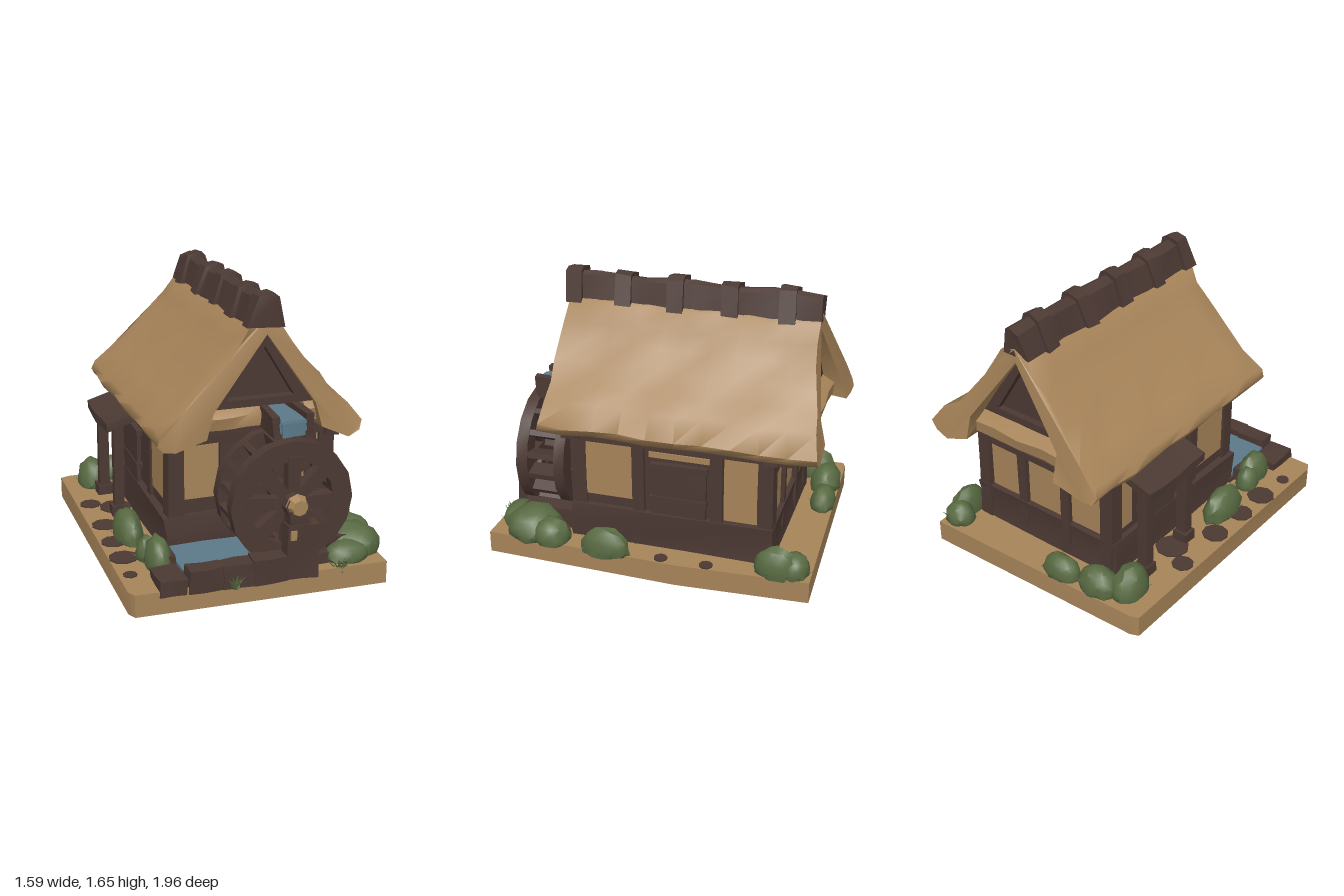
import * as THREE from 'three';
import { toCreasedNormals, mergeVertices } from 'three/addons/utils/BufferGeometryUtils.js';

const mat = (name, color) => Object.assign(new THREE.MeshStandardMaterial({ color }), { name });

export function createModel() {
  const root = new THREE.Group();
  root.name = 'watermill';
  const tan = mat('straw and plaster', 0xa78459);
  const dark = mat('dark timber', 0x4c3933);
  const green = mat('leaf green', 0x586a42);
  const blue = mat('water blue', 0x5c7a8a);

  // Hand-carved unevenness: shift vertices by a rule of their position
  const rough = (geo, amt) => {
    const p = geo.attributes.position;
    for (let i = 0; i < p.count; i++) {
      const x = p.getX(i), y = p.getY(i), z = p.getZ(i);
      p.setXYZ(i,
        x + amt * Math.sin(y * 19 + z * 13 + x * 5),
        y + amt * Math.sin(x * 17 + z * 11 + 1),
        z + amt * Math.sin(x * 13 + y * 21 + 2));
    }
    return geo;
  };
  const add = (name, geo, material, parent = root, crease = 0.6) => {
    const mesh = new THREE.Mesh(toCreasedNormals(geo, crease), material);
    mesh.name = name;
    parent.add(mesh);
    return mesh;
  };
  const box = (name, m, x0, x1, y0, y1, z0, z1, amt = 0.006, parent = root) => {
    const g = new THREE.BoxGeometry(x1 - x0, y1 - y0, z1 - z0, 2, 2, 2);
    g.translate((x0 + x1) / 2, (y0 + y1) / 2, (z0 + z1) / 2);
    return add(name, rough(g, amt), m, parent);
  };
  const toShape = pts => new THREE.Shape(pts.map(p => new THREE.Vector2(...p)));
  // Outline in x and y, extruded from z0 to z1
  const prism = (pts, z0, z1, hole, steps = 1) => {
    const s = toShape(pts);
    if (hole) s.holes.push(toShape(hole));
    return new THREE.ExtrudeGeometry(s, { depth: z1 - z0, steps, bevelEnabled: false }).translate(0, 0, z0);
  };
  const circle = (r, n) => Array.from({ length: n }, (_, i) =>
    [r * Math.cos(i / n * 2 * Math.PI), r * Math.sin(i / n * 2 * Math.PI)]);

  // Ground slab with dark underside
  const plan = [[-0.78, 0.91], [-0.73, 0.93], [0.7, 0.97], [0.74, 0.2], [0.7, -0.965], [-0.76, -0.93], [-0.785, -0.88]];
  add('ground', prism(plan, 0.004, 0.135).rotateX(-Math.PI / 2), tan);
  add('underside', new THREE.ShapeGeometry(toShape(plan.map(([x, y]) => [x, -y]))).rotateX(Math.PI / 2), dark);
  for (const [x, z, r] of [[-0.7, -0.39, 0.065], [-0.69, -0.04, 0.08], [-0.7, 0.22, 0.075], [-0.7, 0.45, 0.085],
    [-0.56, -0.3, 0.1], [-0.72, 0.68, 0.04], [0.69, -0.37, 0.04], [0.69, -0.1, 0.04]]) {
    add('pathStone', new THREE.CylinderGeometry(r, r, 0.008, 9).translate(x, 0.139, z), dark);
  }

  // House: footing, core, posts and beams
  box('footing', dark, -0.46, 0.58, 0.12, 0.36, -0.72, 0.485, 0.01);
  box('wallCore', dark, -0.42, 0.55, 0.35, 0.92, -0.69, 0.445, 0);
  for (const x of [-0.395, 0.525]) for (const z of [-0.68, 0.43])
    box('cornerPost', dark, x - 0.045, x + 0.045, 0.13, 0.86, z - 0.045, z + 0.045);
  for (const z of [0.065, -0.4]) {
    box('sidePost', dark, 0.52, 0.575, 0.13, 0.84, z - 0.035, z + 0.035);
    box('sidePost', dark, -0.445, -0.4, 0.13, 0.84, z - 0.035, z + 0.035);
  }
  for (const x of [-0.1, 0.22]) box('backPost', dark, x - 0.03, x + 0.03, 0.13, 0.86, -0.725, -0.66);
  box('frontPost', dark, -0.13, -0.05, 0.13, 0.86, 0.42, 0.475);
  box('frontPost', dark, 0.4, 0.46, 0.13, 0.86, 0.42, 0.475);
  for (const x of [-0.42, 0.54]) box('eaveBeam', dark, x - 0.04, x + 0.04, 0.77, 0.85, -0.82, 0.53);
  for (const z of [-0.71, 0.45]) box('tieBeam', dark, -0.47, 0.6, 0.78, 0.89, z - 0.04, z + 0.04);
  box('backRail', dark, -0.4, 0.53, 0.67, 0.71, -0.715, -0.66);

  // Plaster panels
  const panel = (...b) => box('plasterPanel', tan, ...b, 0);
  panel(-0.345, -0.13, 0.445, 0.765, 0.446, 0.454);
  panel(-0.045, 0.11, 0.43, 0.655, 0.446, 0.454);
  panel(0.22, 0.4, 0.39, 0.66, 0.446, 0.454);
  panel(0.46, 0.49, 0.42, 0.77, 0.446, 0.454);
  for (const [a, b] of [[-0.35, -0.13], [-0.07, 0.19], [0.25, 0.48]]) panel(a, b, 0.37, 0.77, -0.699, -0.691);
  panel(0.551, 0.559, 0.42, 0.77, 0.11, 0.39);
  panel(0.551, 0.559, 0.37, 0.78, -0.64, -0.435);
  panel(0.551, 0.559, 0.71, 0.745, -0.35, 0.01);
  panel(-0.429, -0.421, 0.42, 0.77, 0.11, 0.38);
  panel(-0.429, -0.421, 0.4, 0.77, -0.63, -0.52);

  // Side doors with planks and rails
  for (const [x, z] of [[0.563, -0.17], [-0.438, -0.3]]) {
    for (let i = -1; i <= 1; i++)
      box('doorPlank', dark, x - 0.015, x + 0.01, 0.2, 0.68, z + i * 0.108 - 0.054, z + i * 0.108 + 0.054, 0.003);
    for (const y of [0.44, 0.65]) box('doorRail', dark, x - 0.02, x + 0.02, y, y + 0.035, z - 0.17, z + 0.17, 0.003);
  }

  // Thatched roof, its lower edge reaching further out at both ends
  const roof = prism([[0.1, 1.51], [0.0, 1.455], [-0.07, 1.36], [-0.145, 1.27], [-0.26, 1.16], [-0.4, 1.0], [-0.525, 0.91],
    [-0.545, 0.86], [-0.52, 0.82], [-0.45, 0.8], [-0.25, 0.86], [-0.23, 1.01], [0.1, 1.42], [0.39, 1.0], [0.41, 0.86],
    [0.57, 0.8], [0.64, 0.825], [0.668, 0.875], [0.59, 0.995], [0.485, 1.07], [0.4, 1.17], [0.305, 1.27],
    [0.25, 1.37], [0.195, 1.465]], 0, 1, null, 10);
  const rp = roof.attributes.position;
  for (let i = 0; i < rp.count; i++) {
    const k = THREE.MathUtils.clamp((1.5 - rp.getY(i)) / 0.68, 0, 1);
    const z0 = -0.865 - 0.115 * k ** 1.5, z1 = 0.61 + 0.04 * k * k;
    rp.setZ(i, z0 + (z1 - z0) * rp.getZ(i));
  }
  add('thatchRoof', rough(roof, 0.009), tan, root, 1);

  // Thatch skirts below the gables (outline in z and y, run along x)
  const skirt = (pts, x0, x1) =>
    add('gableSkirt', rough(prism(pts.map(([z, y]) => [-z, y]), x0, x1, null, 4).rotateY(Math.PI / 2), 0.006), tan, root, 0.9);
  const frontSkirt = [[0.44, 1.04], [0.56, 1.005], [0.6, 0.96], [0.59, 0.89], [0.44, 0.87]];
  skirt(frontSkirt, -0.26, 0.07);
  skirt(frontSkirt, 0.33, 0.43);
  skirt([[-0.68, 1.05], [-0.8, 1.02], [-0.9, 0.95], [-0.89, 0.88], [-0.68, 0.86]], -0.27, 0.43);

  // Gable frames and recessed boards
  const tri = [[-0.25, 1.0], [0.4, 1.0], [0.1, 1.44]];
  const inner = [[-0.12, 1.045], [0.28, 1.045], [0.1, 1.34]];
  for (const [z, board] of [[0.5, 0.49], [-0.83, -0.79]]) {
    add('gableFrame', prism(tri, z, z + 0.07, inner), dark);
    add('gableBoard', prism(tri, board, board + 0.02), dark);
  }

  // Ridge log and its bindings
  const ridge = (w, t, h) => [[0.088 - w, 1.46], [0.088 + w, 1.46], [0.1 + t, h - 0.015], [0.11, h], [0.09 - t, h - 0.02]];
  add('ridgeLog', rough(prism(ridge(0.085, 0.04, 1.625), -0.87, 0.61, null, 10), 0.008), dark);
  for (const z of [0.58, 0.28, -0.03, -0.35, -0.68])
    add('ridgeBinding', rough(prism(ridge(0.113, 0.052, 1.648), z - 0.048, z + 0.048), 0.007), dark);

  // Porch on the right side
  const porch = new THREE.Group();
  porch.name = 'porch';
  root.add(porch);
  add('porchRoof', rough(prism([[-0.645, 0.69], [-0.38, 0.78], [-0.38, 0.825], [-0.645, 0.74]], -0.64, -0.12, null, 4), 0.006), dark, porch);
  for (const z of [-0.57, -0.19]) {
    box('porchPost', dark, -0.595, -0.53, 0.13, 0.71, z - 0.03, z + 0.03, 0.004, porch);
    box('porchFoot', dark, -0.61, -0.515, 0.13, 0.2, z - 0.045, z + 0.045, 0.004, porch);
  }

  // Water wheel: two rims, spokes, paddles, axle and hub
  const wheel = new THREE.Group();
  wheel.name = 'waterWheel';
  wheel.position.set(0.165, 0.515, 0);
  root.add(wheel);
  for (const [z0, z1] of [[0.55, 0.615], [0.78, 0.85]]) {
    add('rim', prism(circle(0.36, 16), z0, z1, circle(0.245, 16)), dark, wheel);
    for (let i = 0; i < 8; i++)
      add('spoke', prism([[0.03, -0.03], [0.27, -0.045], [0.27, 0.045], [0.03, 0.03]], z0 + 0.008, z1 + 0.006)
        .rotateZ(i * Math.PI / 4 - 0.05), dark, wheel);
  }
  for (let i = 0; i < 16; i++)
    add('paddle', new THREE.BoxGeometry(0.11, 0.035, 0.2).translate(0.295, 0, 0.695).rotateZ((i + 0.5) * Math.PI / 8), dark, wheel);
  add('axle', new THREE.CylinderGeometry(0.068, 0.068, 0.48, 8).rotateX(Math.PI / 2).translate(0, 0, 0.69), dark, wheel);
  add('hubCap', new THREE.CylinderGeometry(0.045, 0.067, 0.05, 8).rotateX(Math.PI / 2).translate(0, 0.01, 0.94), tan, wheel);
  box('wheelPost', dark, 0.1, 0.285, 0.1, 0.42, 0.87, 0.955, 0.005);
  box('axleBearing', dark, 0.11, 0.23, 0.4, 0.5, 0.86, 0.95, 0.005);
  box('wornPatch', tan, 0.115, 0.15, 0.34, 0.395, 0.955, 0.964, 0);

  // Chute carrying water to the wheel
  box('chuteFloor', dark, 0.09, 0.31, 0.87, 0.9, 0.45, 0.78);
  for (const x of [0.085, 0.28]) box('chuteSide', dark, x - 0.015, x + 0.03, 0.88, 1.0, 0.45, 0.79);
  box('chuteWater', blue, 0.11, 0.27, 0.9, 0.965, 0.46, 0.79, 0.005);
  box('spillingWater', blue, 0.12, 0.255, 0.88, 0.96, 0.785, 0.805, 0.004);

  // Mill pond and stone surround
  box('pondBed', dark, -0.47, 0.5, 0.12, 0.165, 0.45, 0.86, 0.004);
  box('pondWater', blue, -0.46, -0.02, 0.16, 0.19, 0.48, 0.86, 0.003);
  for (const [x0, x1, h, z0, z1] of [[-0.62, -0.47, 0.19, 0.73, 0.945], [-0.46, -0.27, 0.235, 0.84, 0.948],
    [-0.272, -0.09, 0.235, 0.85, 0.955], [-0.095, 0.1, 0.25, 0.85, 0.96], [0.29, 0.4, 0.2, 0.8, 0.88],
    [-0.56, -0.46, 0.22, 0.5, 0.7], [0.42, 0.52, 0.26, 0.5, 0.8]])
    box('pondStone', dark, x0, x1, 0.1, h, z0, z1, 0.005);

  // Bushes: lumpy blobs with pointed leaves around the foot
  const leaf = (x, y, z, a, tilt, s, parent) => {
    const g = new THREE.ConeGeometry(0.022 * s / 0.1, s, 4).scale(1, 1, 0.5).translate(0, s / 2, 0);
    add('leaf', g.rotateX(tilt).rotateY(a).translate(x, y, z), green, parent);
  };
  const bush = (x, z, rx, ry, rz) => {
    const group = new THREE.Group();
    group.name = 'bush';
    root.add(group);
    const ball = new THREE.IcosahedronGeometry(1, 2);
    ball.deleteAttribute('normal');
    ball.deleteAttribute('uv');
    const g = mergeVertices(ball);
    const p = g.attributes.position;
    for (let i = 0; i < p.count; i++) {
      const s = 0.94 + 0.08 * Math.sin(p.getX(i) * 7 + x * 20) * Math.sin(p.getZ(i) * 6 + z * 9 + p.getY(i) * 5);
      p.setXYZ(i, p.getX(i) * s * rx + x, Math.max(p.getY(i), -0.3) * s * ry + 0.16, p.getZ(i) * s * rz + z);
    }
    add('foliage', g, green, group, 0.9);
    for (let i = 0; i < 6; i++) {
      const a = i * 1.05 + x * 5;
      leaf(x + Math.sin(a) * rx * 0.7, 0.14, z + Math.cos(a) * rz * 0.7, a, 1, 0.055, group);
    }
  };
  for (const b of [[0.58, 0.72, 0.18, 0.14, 0.18], [0.5, 0.85, 0.14, 0.09, 0.1], [0.66, 0.58, 0.11, 0.12, 0.12],
    [0.71, 0.23, 0.075, 0.14, 0.155], [0.65, -0.77, 0.075, 0.15, 0.14], [0.62, -0.87, 0.1, 0.11, 0.09],
    [-0.6, -0.76, 0.1, 0.16, 0.14], [-0.45, -0.85, 0.14, 0.13, 0.1], [-0.2, -0.88, 0.13, 0.11, 0.08],
    [-0.6, 0.17, 0.09, 0.16, 0.18], [-0.54, 0.6, 0.08, 0.16, 0.14], [-0.57, 0.49, 0.07, 0.12, 0.08]]) bush(...b);

  // Grass tufts at the front edge
  for (const [x, z] of [[-0.2, 0.95], [0.43, 0.94]])
    for (let i = -3; i <= 3; i++) leaf(x, 0.1, z, i * 0.5 + (i < 0 ? -0.3 : 0.3), 0.25 + 0.2 * Math.abs(i), 0.095, root);

  return root;
}
